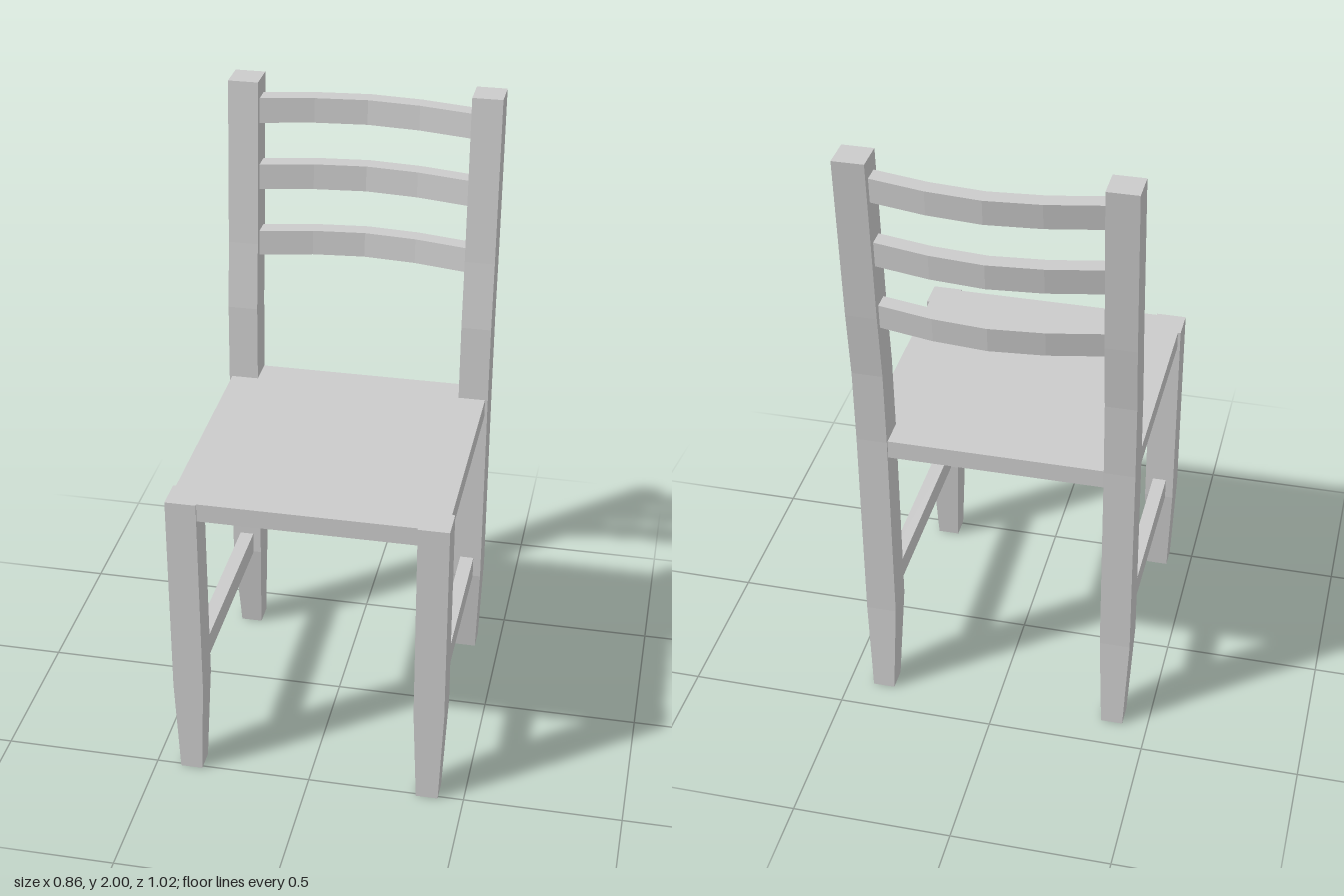
import * as THREE from 'three';

const material = new THREE.MeshStandardMaterial({ color: 0xcccccc, flatShading: true, roughness: 0.8 });

// Skin a run of four-cornered sections, each counter-clockwise seen from the run's far end
function loft(sections) {
  const pos = [];
  const quad = (a, b, c, d) => pos.push(...a, ...b, ...c, ...a, ...c, ...d);
  for (let i = 0; i < sections.length - 1; i++) {
    const s = sections[i], t = sections[i + 1];
    for (let j = 0; j < 4; j++) {
      const k = (j + 1) % 4;
      quad(s[j], s[k], t[k], t[j]);
    }
  }
  quad(...[...sections[0]].reverse());
  quad(...sections[sections.length - 1]);
  const geometry = new THREE.BufferGeometry();
  geometry.setAttribute('position', new THREE.Float32BufferAttribute(pos, 3));
  geometry.computeVertexNormals();
  return geometry;
}

// Leg from levels of [y, half width, front z, back z]
function legGeometry(levels) {
  return loft(levels.map(([y, w, f, b]) => [[-w, y, f], [w, y, f], [w, y, b], [-w, y, b]]));
}

// Bowed, slightly leaning slat between two heights
function slatGeometry(y0, y1) {
  const thickness = 0.054;
  const bow = [[-0.337, 0.05], [-0.167, 0.015], [0, 0], [0.167, 0.015], [0.337, 0.05]];
  const lean = (y) => -0.455 + (1.94 - y) * 0.088;
  return loft(bow.map(([x, dz]) => {
    const z0 = lean(y0) + dz, z1 = lean(y1) + dz;
    return [[x, y0, z0], [x, y0, z0 - thickness], [x, y1, z1 - thickness], [x, y1, z1]];
  }));
}

export function createModel() {
  const chair = new THREE.Group();
  chair.name = 'chair';
  const add = (name, geometry, x = 0, y = 0, z = 0) => {
    const mesh = new THREE.Mesh(geometry, material);
    mesh.name = name;
    mesh.position.set(x, y, z);
    chair.add(mesh);
  };

  // Seat panel
  add('seat', new THREE.BoxGeometry(0.846, 0.06, 0.895), 0, 0.97, 0.055);

  // Legs with tapered feet; the back pair runs up into the backrest posts
  const frontLeg = legGeometry([
    [0, 0.035, 0.51, 0.437],
    [0.32, 0.048, 0.51, 0.41],
    [1, 0.048, 0.51, 0.41],
  ]);
  const backLeg = legGeometry([
    [0, 0.035, -0.325, -0.4],
    [0.32, 0.048, -0.286, -0.388],
    [1, 0.048, -0.3, -0.4],
    [1.25, 0.048, -0.312, -0.412],
    [1.47, 0.048, -0.34, -0.44],
    [2, 0.048, -0.388, -0.488],
  ]);
  const stretcher = new THREE.BoxGeometry(0.045, 0.073, 0.72);
  for (const [side, s] of [['left', 1], ['right', -1]]) {
    add(`${side}FrontLeg`, frontLeg, s * 0.384);
    add(`${side}BackLeg`, backLeg, s * 0.384);
    add(`${side}Stretcher`, stretcher, s * 0.384, 0.355, 0.062);
  }

  // Backrest slats
  [[1.425, 1.505], [1.645, 1.727], [1.863, 1.942]].forEach(([y0, y1], i) => {
    add(`backSlat${i + 1}`, slatGeometry(y0, y1));
  });

  return chair;
}
